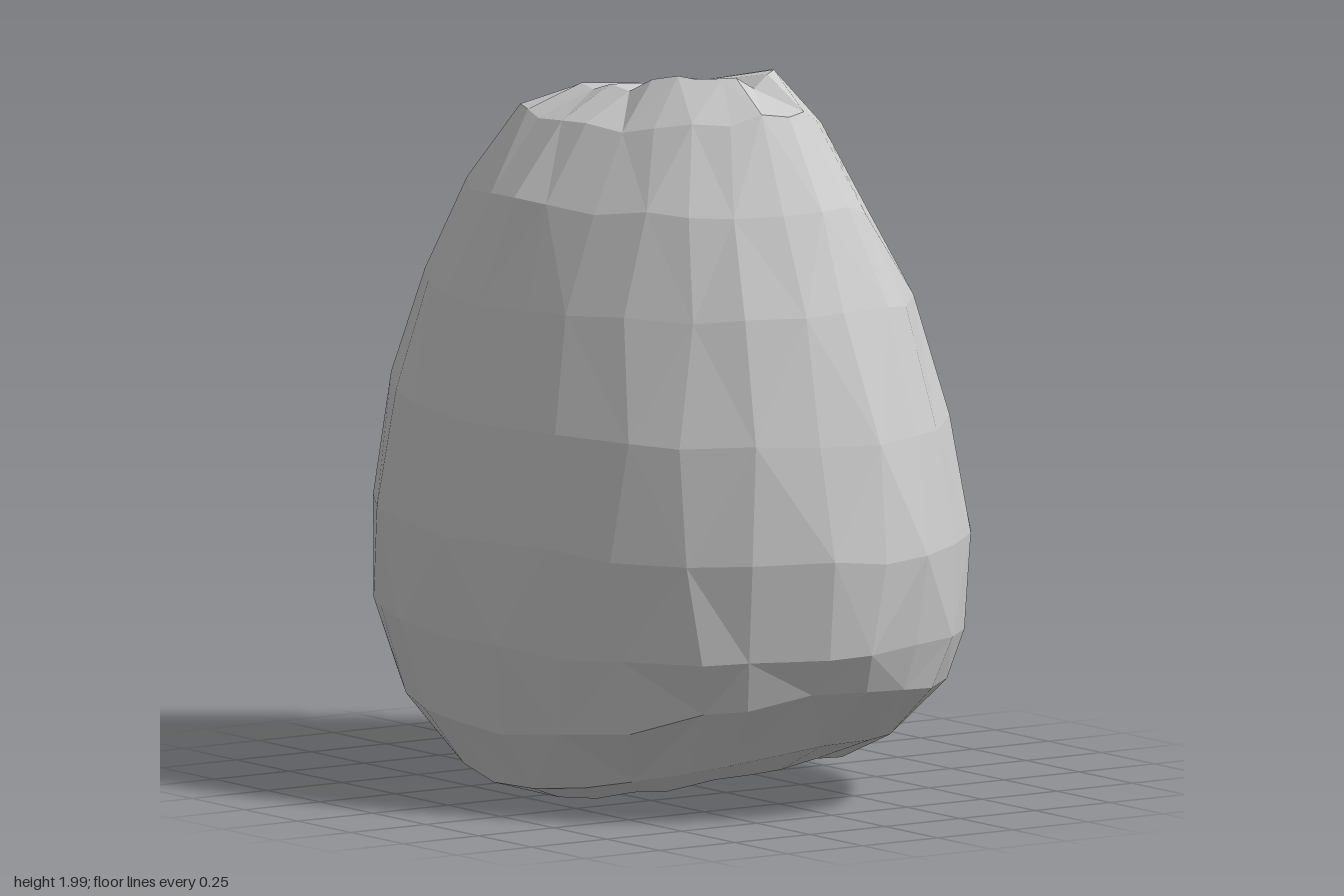
import * as THREE from 'three';

const SEGMENTS = 26;

// Each ring: [x, y] on its left-hand and right-hand ends, [z, y] on front and back, then a bump height.
const RINGS = [
  { n: [-0.30, 0.05], p: [0.28, 0.085], f: [0.25, 0.05], b: [-0.28, 0.12] },
  { n: [-0.56, 0.09], p: [0.52, 0.10], f: [0.42, 0.0], b: [-0.49, 0.14] },
  { n: [-0.76, 0.20], p: [0.73, 0.19], f: [0.54, 0.04], b: [-0.56, 0.18] },
  { n: [-0.94, 0.31], p: [0.93, 0.36], f: [0.64, 0.20], b: [-0.62, 0.28] },
  { n: [-1.0, 0.47], p: [0.98, 0.47], f: [0.69, 0.44], b: [-0.68, 0.48] },
  { n: [-1.0, 0.73], p: [1.0, 0.73], f: [0.70, 0.73], b: [-0.70, 0.73] },
  { n: [-0.96, 1.08], p: [0.94, 1.05], f: [0.66, 1.05], b: [-0.65, 1.05] },
  { n: [-0.84, 1.38], p: [0.83, 1.40], f: [0.58, 1.35], b: [-0.56, 1.34] },
  { n: [-0.70, 1.61], p: [0.71, 1.66], f: [0.48, 1.63], b: [-0.42, 1.55] },
  { n: [-0.54, 1.82], p: [0.54, 1.90], f: [0.33, 1.84], b: [-0.31, 1.77] },
  { n: [-0.39, 1.86], p: [0.38, 1.96], f: [0.18, 1.92], b: [-0.21, 1.90], bump: 0.045 },
];

// Small seeded noise in -1..1
function makeNoise(seed) {
  return () => {
    seed = (seed * 16807) % 2147483647;
    return (seed / 2147483647) * 2 - 1;
  };
}

function rockGeometry() {
  const noise = makeNoise(4127);
  const points = [];
  const index = [];

  // Lopsided oval rings, each with its own tilt
  RINGS.forEach(({ n, p, f, b, bump = 0 }) => {
    for (let j = 0; j < SEGMENTS; j++) {
      const angle = ((j + 0.18 * noise()) / SEGMENTS) * Math.PI * 2;
      const c = Math.cos(angle);
      const s = Math.sin(angle);
      const side = c < 0 ? n : p;
      const face = s < 0 ? b : f;
      const swell = 1 + 0.012 * noise();
      const lift = c > 0 ? bump * Math.abs(2 * s * c) : 0;
      points.push(
        Math.abs(c) * side[0] * swell,
        Math.max(0, c * c * side[1] + s * s * face[1] + lift + 0.012 * noise()),
        Math.abs(s) * face[0] * swell
      );
    }
  });

  // Walls between neighbouring rings
  for (let i = 0; i < RINGS.length - 1; i++) {
    for (let j = 0; j < SEGMENTS; j++) {
      const k = (j + 1) % SEGMENTS;
      const a = i * SEGMENTS + j;
      const d = i * SEGMENTS + k;
      const up = a + SEGMENTS;
      const upNext = d + SEGMENTS;
      if ((i + j) % 2) index.push(a, up, d, d, up, upNext);
      else index.push(a, up, upNext, a, upNext, d);
    }
  }

  // Hollowed underside and dimpled crown
  const bottom = points.length / 3;
  points.push(0, 0.1, 0, 0.05, 1.93, -0.02);
  const last = (RINGS.length - 1) * SEGMENTS;
  for (let j = 0; j < SEGMENTS; j++) {
    const k = (j + 1) % SEGMENTS;
    index.push(bottom, j, k, bottom + 1, last + k, last + j);
  }

  const geometry = new THREE.BufferGeometry();
  geometry.setAttribute('position', new THREE.Float32BufferAttribute(points, 3));
  geometry.setIndex(index);
  geometry.computeVertexNormals();
  return geometry;
}

export function createModel() {
  const model = new THREE.Group();
  model.name = 'boulder';
  const material = new THREE.MeshStandardMaterial({ color: 0xcccccc, flatShading: true });
  const rock = new THREE.Mesh(rockGeometry(), material);
  rock.name = 'rock';
  model.add(rock);
  return model;
}
